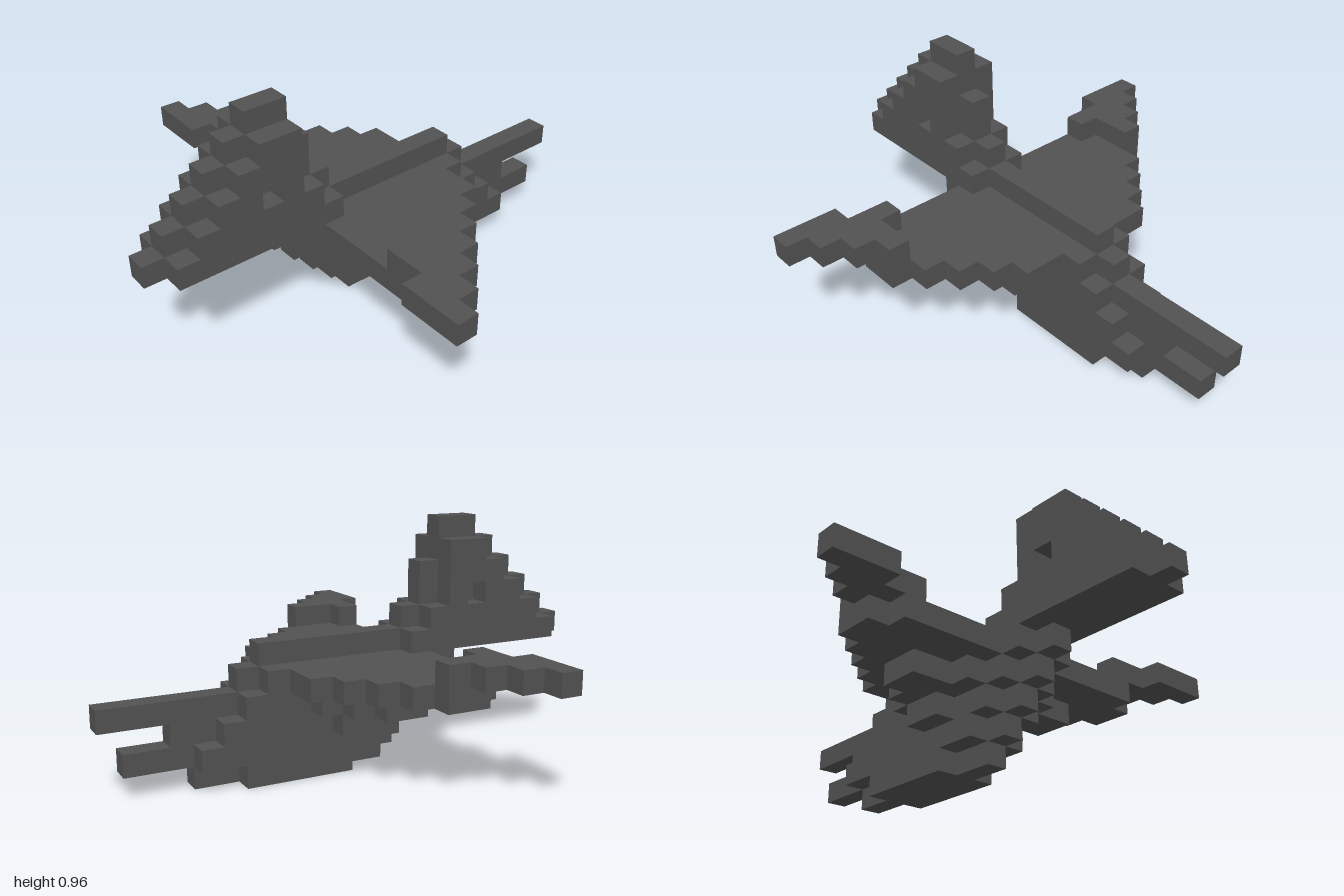
import * as THREE from 'three';

const U = 2 / 23; // edge of one cube

// Each row of cubes: [level y, distance from centre line z, first x, last x]; mirrored in z.
const PARTS = {
  head: [
    [10, 0, 5, 6], [9, 0, 4, 6], [8, 0, 3, 7], [7, 0, 2, 7], [6, 0, 1, 8], [5, 0, 0, 8],
    [9, 1, 5, 6], [8, 1, 4, 6],
    [7, 1, 3, 4], [7, 1, 6, 6], // gap leaves the eye socket
    [6, 1, 2, 7], [5, 1, 1, 8],
  ],
  body: [
    [5, 0, 9, 15], [4, 0, 6, 16], [3, 0, 7, 16], [2, 0, 8, 17], [1, 0, 9, 18], [0, 0, 10, 18],
    [4, 1, 7, 15], [3, 1, 8, 16], [2, 1, 9, 17], [1, 1, 10, 18], [0, 1, 12, 16],
  ],
  tail: [[3, 0, 17, 22], [2, 0, 18, 19], [1, 0, 19, 21]],
  wings: [
    // raised tips
    [5, 10, 7, 7], [5, 9, 7, 8], [5, 8, 7, 9], [5, 7, 8, 10], [5, 6, 8, 8],
    // main surface
    [4, 7, 9, 10], [4, 6, 8, 11], [4, 5, 8, 12], [4, 4, 8, 13], [4, 3, 8, 14], [4, 2, 8, 14],
    // thick roots below
    [3, 4, 10, 11], [3, 3, 10, 12], [3, 2, 9, 13], [2, 2, 11, 12],
  ],
};

function cellsOf(rows) {
  const cells = [];
  for (const [y, z, x0, x1] of rows) {
    for (const side of z ? [1, -1] : [1]) {
      for (let x = x0; x <= x1; x++) cells.push([x, y, z * side]);
    }
  }
  return cells;
}

// Builds only the cube faces that are not covered by a neighbouring cube
function cubeGeometry(cells, filled) {
  const positions = [], normals = [], index = [];
  for (const c of cells) {
    for (let axis = 0; axis < 3; axis++) {
      for (const s of [1, -1]) {
        const next = [...c];
        next[axis] += s;
        if (filled.has(next.join())) continue;
        const b = (axis + 1) % 3, d = (axis + 2) % 3, start = positions.length / 3;
        for (const [p, q] of [[-1, -1], [1, -1], [1, 1], [-1, 1]]) {
          const v = [c[0] - 11, c[1] + 0.5, c[2]];
          v[axis] += s / 2;
          v[b] += (p * s) / 2;
          v[d] += q / 2;
          positions.push(...v.map((n) => n * U));
          const normal = [0, 0, 0];
          normal[axis] = s;
          normals.push(...normal);
        }
        index.push(start, start + 1, start + 2, start, start + 2, start + 3);
      }
    }
  }
  const geometry = new THREE.BufferGeometry();
  geometry.setAttribute('position', new THREE.Float32BufferAttribute(positions, 3));
  geometry.setAttribute('normal', new THREE.Float32BufferAttribute(normals, 3));
  geometry.setIndex(index);
  return geometry;
}

export function createModel() {
  const group = new THREE.Group();
  group.name = 'bird';
  const charcoal = new THREE.MeshStandardMaterial({ color: 0x525252 });
  charcoal.name = 'charcoal';

  const filled = new Set(Object.values(PARTS).flatMap(cellsOf).map((c) => c.join()));
  for (const [name, rows] of Object.entries(PARTS)) {
    const mesh = new THREE.Mesh(cubeGeometry(cellsOf(rows), filled), charcoal);
    mesh.name = name;
    group.add(mesh);
  }
  return group;
}
